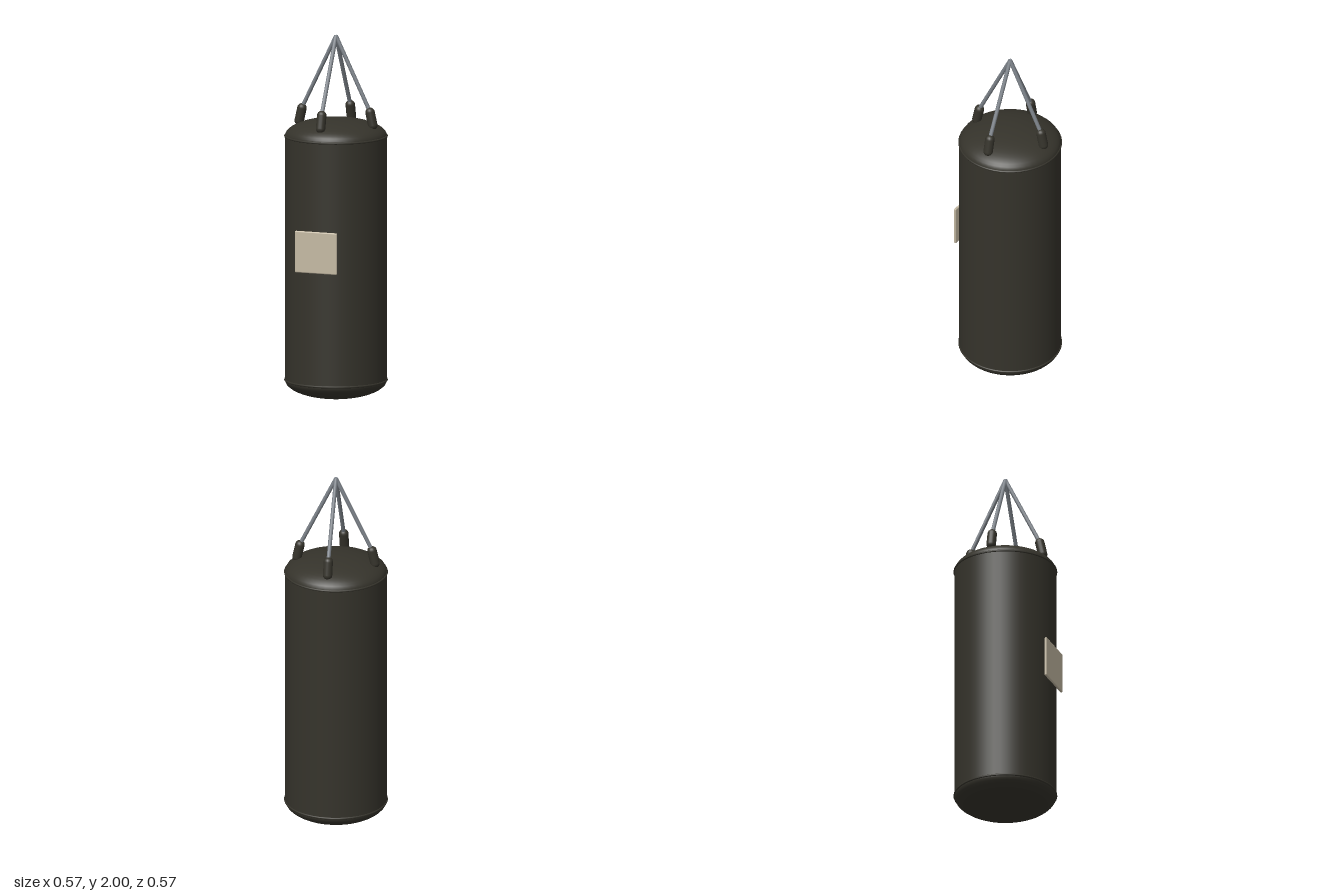
import * as THREE from 'three';
import { RoundedBoxGeometry } from 'three/addons/geometries/RoundedBoxGeometry.js';

const leather = new THREE.MeshStandardMaterial({ color: 0x35332b });
leather.name = 'dark leather';
const steel = new THREE.MeshStandardMaterial({ color: 0x7b8188 });
steel.name = 'grey steel';
const cream = new THREE.MeshStandardMaterial({ color: 0xc4b9a3 });
cream.name = 'cream patch';

const RADIUS = 0.278, BOTTOM = 0.1, TOP = 1.445, CENTRE_Z = -0.004;
const UP = new THREE.Vector3(0, 1, 0);

function add(parent, name, geometry, material) {
  const mesh = new THREE.Mesh(geometry, material);
  mesh.name = name;
  parent.add(mesh);
  return mesh;
}

// Stand a y-axis mesh between two points
function span(mesh, a, b) {
  mesh.position.lerpVectors(a, b, 0.5);
  mesh.quaternion.setFromUnitVectors(UP, b.clone().sub(a).normalize());
}

export function createModel() {
  const model = new THREE.Group();
  model.name = 'punchingBag';
  const bag = new THREE.Group();
  bag.name = 'bag';
  bag.position.z = CENTRE_Z;
  model.add(bag);

  // Straight cylindrical body
  const body = add(bag, 'body',
    new THREE.CylinderGeometry(RADIUS, RADIUS, TOP - BOTTOM, 48, 1, true), leather);
  body.position.y = (TOP + BOTTOM) / 2;

  // Shallow domes and seam rings at both ends
  for (const [name, y, height, flip] of [['top', TOP, 0.096, 0], ['bottom', BOTTOM, 0.1, Math.PI]]) {
    const dome = add(bag, name + 'Dome',
      new THREE.SphereGeometry(RADIUS, 48, 12, 0, Math.PI * 2, 0, Math.PI / 2), leather);
    dome.scale.y = height / RADIUS;
    dome.rotation.x = flip;
    dome.position.y = y;
    const seam = add(bag, name + 'Seam', new THREE.TorusGeometry(RADIUS - 0.001, 0.006, 8, 48), leather);
    seam.rotation.x = Math.PI / 2;
    seam.position.y = y;
  }

  // Four leaning strap loops, each with a rod up to the shared apex
  const low = new THREE.Vector3(0.217, 1.515, 0), high = new THREE.Vector3(0.201, 1.586, 0);
  const rodStart = new THREE.Vector3(0.2, 1.59, 0), apex = new THREE.Vector3(0, 1.995, 0);
  for (let i = 0; i < 4; i++) {
    const hanger = new THREE.Group();
    hanger.name = 'hanger' + (i + 1);
    hanger.rotation.y = i * Math.PI / 2;
    bag.add(hanger);
    span(add(hanger, 'strap',
      new THREE.CapsuleGeometry(0.026, low.distanceTo(high), 8, 16), leather), low, high);
    span(add(hanger, 'rod',
      new THREE.CylinderGeometry(0.011, 0.011, rodStart.distanceTo(apex), 12), steel), rodStart, apex);
  }

  // Flat patch on the front
  const patch = add(model, 'frontPatch', new RoundedBoxGeometry(0.248, 0.23, 0.014, 3, 0.0068), cream);
  patch.position.set(0, 0.84, 0.277);

  return model;
}
